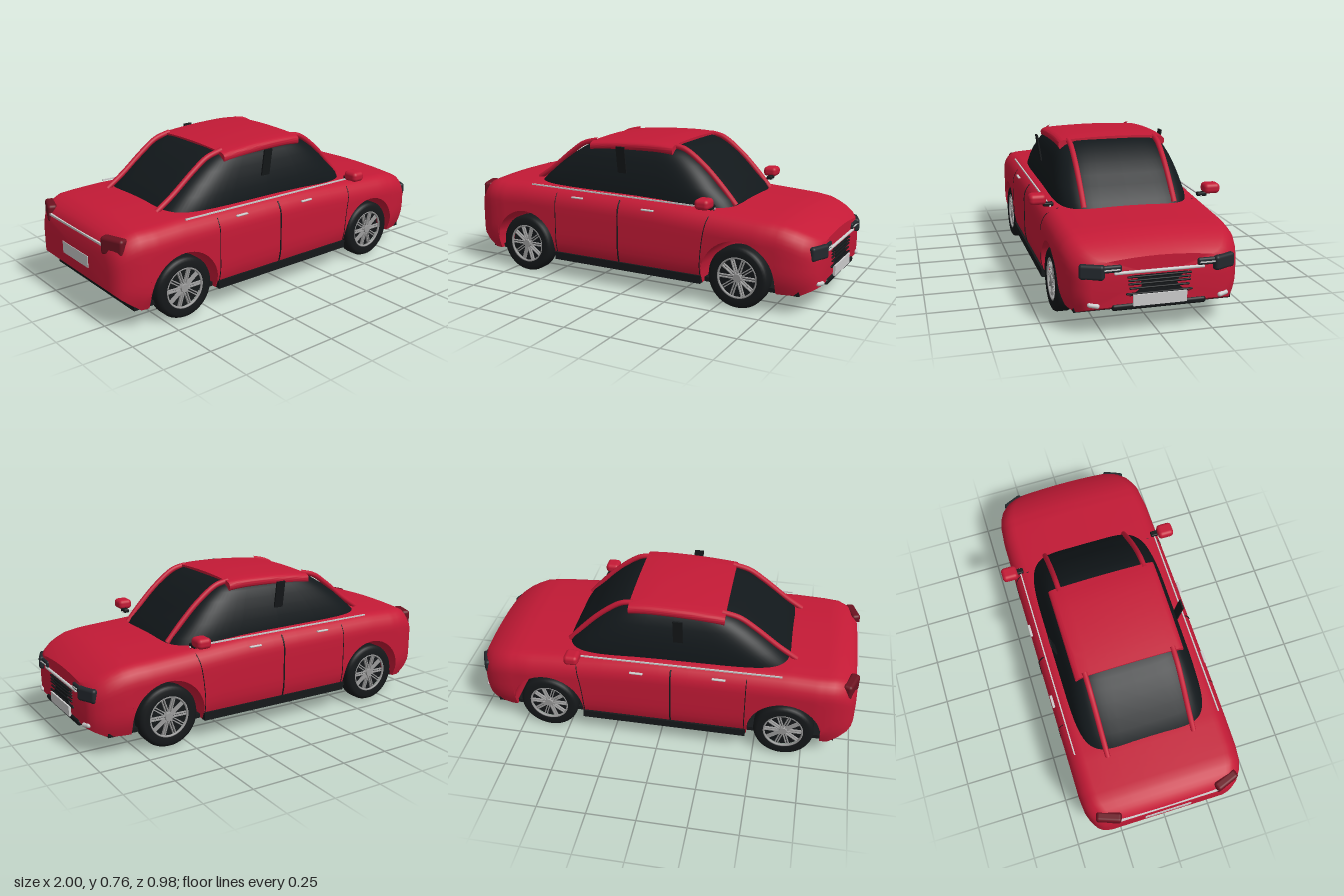
import * as THREE from 'three';
import { toCreasedNormals } from 'three/addons/utils/BufferGeometryUtils.js';
import { RoundedBoxGeometry } from 'three/addons/geometries/RoundedBoxGeometry.js';

const mat = (color) => new THREE.MeshStandardMaterial({ color });
const RED = mat(0xc41a36), BLACK = mat(0x15181a), GLASS = mat(0x12181b), CHROME = mat(0xcccccc);
const RIM = mat(0x9a9a9a), TAIL = mat(0x6b1220), LAMP = mat(0x23282d);
const ARCHES = [-0.65, 0.6], ARCH_R = 0.19, WHEEL_Y = 0.155;
const CROWN = 0.014, ROUND = 0.1;

// Piecewise linear lookup in [x, value] pairs
function lookup(table, x) {
  let i = 1;
  while (i < table.length - 1 && x > table[i][0]) i++;
  const [a, b] = [table[i - 1], table[i]];
  return THREE.MathUtils.lerp(a[1], b[1], THREE.MathUtils.clamp((x - a[0]) / (b[0] - a[0]), 0, 1));
}
const TOP = [[-1, 0.4], [-0.99, 0.43], [-0.97, 0.455], [-0.93, 0.48], [-0.88, 0.495], [-0.65, 0.503], [0.1, 0.495],
  [0.5, 0.468], [0.75, 0.452], [0.82, 0.442], [0.87, 0.425], [0.91, 0.408], [0.95, 0.385], [0.98, 0.365]];
const WIDTH = [[-1, 0.31], [-0.99, 0.35], [-0.97, 0.378], [-0.93, 0.403], [-0.88, 0.42], [-0.8, 0.428], [0.7, 0.428],
  [0.82, 0.418], [0.87, 0.405], [0.91, 0.39], [0.95, 0.363], [0.97, 0.335], [0.98, 0.31]];
const BASE = [[-1, 0.2], [-0.97, 0.17], [-0.88, 0.1], [0.9, 0.1], [0.98, 0.14]];

function bottom(x) {
  for (const c of ARCHES) {
    const d = Math.abs(x - c);
    if (d < ARCH_R - 1e-5) return 0.15 + Math.sqrt(ARCH_R ** 2 - d * d);
  }
  return lookup(BASE, x);
}

// Half width of the body at a given length and height
function sideZ(x, y) {
  const w = lookup(WIDTH, x), y0 = lookup(TOP, x) - CROWN - ROUND;
  const k = THREE.MathUtils.clamp((y - y0) / ROUND, 0, 1);
  const tuck = y < 0.22 ? 0.02 * ((0.22 - y) / 0.1) ** 2 : 0;
  return w - tuck - 0.085 * (1 - Math.sqrt(1 - k * k));
}

function bodySection(x) {
  const b = bottom(x), t = lookup(TOP, x), sh = t - CROWN, y0 = sh - ROUND, half = [];
  for (const f of [0, 0.5]) half.push([f * sideZ(x, b), b]);
  for (let i = 0; i <= 6; i++) { const y = b + (y0 - b) * i / 6; half.push([sideZ(x, y), y]); }
  for (let i = 1; i <= 7; i++) {
    const y = y0 + ROUND * Math.sin(i / 7 * Math.PI / 2);
    half.push([sideZ(x, y), y]);
  }
  const zs = sideZ(x, sh);
  for (const f of [0.8, 0.55, 0.25, 0]) half.push([zs * f, sh + CROWN * (1 - f * f)]);
  const other = half.slice(1, -1).reverse().map(([z, y]) => [-z, y]);
  return [...half, ...other].map(([z, y]) => new THREE.Vector3(x, y, z));
}

// Skin over closed rings, capped at both ends
function loft(rings, crease) {
  const n = rings[0].length, pos = [], idx = [];
  rings.forEach((r) => r.forEach((p) => pos.push(p.x, p.y, p.z)));
  for (let i = 0; i < rings.length - 1; i++) for (let j = 0; j < n; j++) {
    const a = i * n + j, b = i * n + (j + 1) % n;
    idx.push(a, a + n, b + n, a, b + n, b);
  }
  [0, rings.length - 1].forEach((i) => {
    const c = rings[i].reduce((s, p) => s.add(p), new THREE.Vector3()).divideScalar(n);
    const k = pos.push(c.x, c.y, c.z) / 3 - 1;
    for (let j = 0; j < n; j++) {
      const a = i * n + j, b = i * n + (j + 1) % n;
      idx.push(k, ...(i ? [b, a] : [a, b]));
    }
  });
  const g = new THREE.BufferGeometry();
  g.setAttribute('position', new THREE.Float32BufferAttribute(pos, 3));
  g.setIndex(idx);
  return toCreasedNormals(g, crease);
}

function createWheel() {
  const g = new THREE.Group();
  const put = (name, geo, m) => { const o = new THREE.Mesh(geo, m); o.name = name; g.add(o); return o; };
  const R = WHEEL_Y, prof = [[0.1, -0.04], [0.135, -0.045], [R - 0.006, -0.038], [R, -0.025], [R, 0.025],
    [R - 0.006, 0.038], [0.135, 0.045], [0.104, 0.042], [0.1, 0.03]].map(([r, y]) => new THREE.Vector2(r, y));
  put('tyre', toCreasedNormals(new THREE.LatheGeometry(prof, 48).rotateX(Math.PI / 2), 0.7), BLACK);
  put('wheelDish', new THREE.CylinderGeometry(0.102, 0.102, 0.06, 40).rotateX(Math.PI / 2).translate(0, 0, -0.01), BLACK);
  put('rimRing', new THREE.TorusGeometry(0.1, 0.006, 8, 48).translate(0, 0, 0.036), RIM);
  put('hub', new THREE.CylinderGeometry(0.02, 0.024, 0.02, 20).rotateX(Math.PI / 2).translate(0, 0, 0.032), RIM);
  for (let i = 0; i < 10; i++) for (const s of [-1, 1]) {
    const spoke = put('spoke', new THREE.BoxGeometry(0.085, 0.005, 0.012).translate(0.058, s * 0.006, 0.03), RIM);
    spoke.rotation.z = i * Math.PI / 5;
  }
  return g;
}

export function createModel() {
  const car = new THREE.Group();
  car.name = 'car';
  const add = (name, geo, m, x = 0, y = 0, z = 0) => {
    const o = new THREE.Mesh(geo, m);
    o.name = name;
    o.position.set(x, y, z);
    car.add(o);
    return o;
  };
  const box = (w, h, d) => new THREE.BoxGeometry(w, h, d);
  const rbox = (w, h, d, r) => new RoundedBoxGeometry(w, h, d, 3, r);
  const tube = (pts, r, seg = 24) => new THREE.TubeGeometry(
    new THREE.CatmullRomCurve3(pts.map((p) => new THREE.Vector3(...p))), seg, r, 10);

  // Body shell with the wheel arches cut through its lower edge
  const xs = [-1, -0.99, -0.97, -0.95, -0.93, -0.9, -0.88, -0.3, -0.15, 0, 0.15, 0.3, 0.82, 0.87, 0.91, 0.95, 0.97, 0.98];
  for (const c of ARCHES) {
    xs.push(c - ARCH_R, c + ARCH_R);
    for (let i = 0; i <= 24; i++) xs.push(c - (ARCH_R - 2e-4) * Math.cos(i / 24 * Math.PI));
  }
  xs.sort((a, b) => a - b);
  add('body', loft(xs.map(bodySection), 0.6), RED);

  // Glass cabin: height, rear x, front x, half width
  const levels = [[0.44, -0.69, 0.53, 0.347], [0.49, -0.66, 0.5, 0.345], [0.55, -0.59, 0.435, 0.336], [0.6, -0.53, 0.388, 0.323],
    [0.65, -0.46, 0.335, 0.306], [0.69, -0.395, 0.28, 0.288], [0.715, -0.345, 0.24, 0.268], [0.735, -0.29, 0.2, 0.235], [0.747, -0.2, 0.12, 0.15]];
  const pw = (v) => Math.sign(v) * Math.abs(v) ** 0.36;
  add('cabinGlass', loft(levels.map(([y, x0, x1, w]) => Array.from({ length: 72 }, (_, i) => {
    const t = i / 72 * Math.PI * 2;
    return new THREE.Vector3((x0 + x1) / 2 + (x1 - x0) / 2 * pw(Math.cos(t)), y, w * pw(Math.sin(t)));
  })), 0.8), GLASS);

  // Roof panel, arched across and bent along its length
  const roof = new THREE.Shape();
  roof.moveTo(-0.27, 0.7);
  roof.lineTo(0.27, 0.7);
  roof.quadraticCurveTo(0.285, 0.705, 0.285, 0.725);
  roof.quadraticCurveTo(0.285, 0.745, 0.25, 0.75);
  roof.quadraticCurveTo(0, 0.768, -0.25, 0.75);
  roof.quadraticCurveTo(-0.285, 0.745, -0.285, 0.725);
  roof.quadraticCurveTo(-0.285, 0.705, -0.27, 0.7);
  const roofGeo = new THREE.ExtrudeGeometry(roof, { depth: 0.49, steps: 12, bevelEnabled: false, curveSegments: 10 });
  roofGeo.rotateY(Math.PI / 2).translate(-0.31, 0, 0);
  const rp = roofGeo.attributes.position;
  for (let i = 0; i < rp.count; i++) rp.setY(i, rp.getY(i) - 0.15 * Math.max(0, 0.06 - rp.getX(i)) ** 2 - 0.5 * Math.max(0, rp.getX(i) - 0.06) ** 2);
  add('roofPanel', toCreasedNormals(roofGeo, 0.6), RED);

  // Number plates, grille and trim across the nose and tail
  add('frontPlate', box(0.012, 0.052, 0.25), CHROME, 0.99, 0.167, 0);
  add('rearPlate', box(0.012, 0.06, 0.25), CHROME, -0.997, 0.285, 0);
  add('rearTrim', box(0.02, 0.01, 0.52), CHROME, -0.99, 0.415, 0);
  add('noseTrim', rbox(0.016, 0.014, 0.42, 0.006), CHROME, 0.982, 0.296, 0);
  add('lowerIntake', rbox(0.03, 0.03, 0.44, 0.012), BLACK, 0.973, 0.136, 0);
  const grille = new THREE.Shape();
  grille.moveTo(-0.13, 0.28);
  grille.quadraticCurveTo(-0.03, 0.235, -0.14, 0.185);
  grille.lineTo(0.14, 0.185);
  grille.quadraticCurveTo(0.03, 0.235, 0.13, 0.28);
  add('grille', new THREE.ExtrudeGeometry(grille, { depth: 0.006, bevelEnabled: false }).rotateY(Math.PI / 2), BLACK, 0.978, 0, 0);
  [[0.273, 0.3], [0.256, 0.29], [0.24, 0.29], [0.22, 0.28], [0.195, 0.31]].forEach(([y, w]) =>
    add('grilleSlat', rbox(0.012, 0.009, w, 0.004), BLACK, 0.982, y, 0));

  // Dark under trays
  add('frontTray', box(0.49, 0.022, 0.75), BLACK, 0.655, 0.109, 0);
  add('rearTray', box(0.455, 0.022, 0.75), BLACK, -0.6825, 0.109, 0);

  for (const s of [-1, 1]) {
    // Wheels
    for (const x of ARCHES) {
      const w = createWheel();
      w.name = 'wheel';
      w.position.set(x, WHEEL_Y, s * 0.375);
      if (s < 0) w.rotation.y = Math.PI;
      car.add(w);
    }
    // Windscreen and rear window pillars
    const z = s * 0.23;
    add('frontPillar', tube([[0.16, 0.738, z], [0.23, 0.722, z], [0.335, 0.648, z], [0.435, 0.55, z], [0.51, 0.465, z]], 0.014), RED);
    add('rearPillar', tube([[-0.29, 0.732, z], [-0.38, 0.708, z], [-0.46, 0.655, z], [-0.59, 0.553, z], [-0.68, 0.493, z]], 0.014), RED);
    add('doorPillar', box(0.05, 0.14, 0.008), BLACK, -0.085, 0.658, s * 0.339).rotation.x = s * 0.15;

    // Door trim, handles, seams and sill
    add('beltTrim', box(1.09, 0.007, 0.007), CHROME, -0.075, 0.482, s * 0.388).rotation.z = -0.008;
    for (const [x, y] of [[-0.307, 0.45], [0.115, 0.435]]) add('doorHandle', rbox(0.07, 0.009, 0.014, 0.004), CHROME, x, y, s * (sideZ(x, y) + 0.012));
    for (const x of [-0.446, -0.06, 0.404]) {
      const pts = Array.from({ length: 12 }, (_, i) => {
        const y = 0.14 + 0.32 * i / 11, xx = x + (x > 0 ? 0.04 * (i / 11) ** 2 : 0);
        return [xx, y, s * (sideZ(xx, y) - 0.0005)];
      });
      add('doorSeam', tube(pts, x === -0.06 ? 0.004 : 0.0022), BLACK);
    }
    add('sill', box(0.865, 0.04, 0.035), BLACK, -0.0225, 0.118, s * 0.408);

    // Mirrors
    add('mirror', rbox(0.075, 0.052, 0.085, 0.02), RED, 0.438, 0.511, s * 0.447);
    add('mirrorStem', rbox(0.03, 0.02, 0.05, 0.006), BLACK, 0.45, 0.484, s * 0.395);

    // Lamps
    add('headlight', rbox(0.055, 0.07, 0.115, 0.015), LAMP, 0.957, 0.306, s * 0.303).rotation.y = -s * 0.4;
    add('headlightInner', rbox(0.03, 0.034, 0.1, 0.01), LAMP, 0.976, 0.318, s * 0.225);
    add('lightStrip', box(0.006, 0.006, 0.075), CHROME, 0.991, 0.316, s * 0.222);
    add('lightStripOuter', box(0.006, 0.006, 0.065), CHROME, 0.982, 0.316, s * 0.288).rotation.y = -s * 0.4;
    const fog = add('fogLight', new THREE.CapsuleGeometry(0.011, 0.034, 6, 12).rotateX(Math.PI / 2), CHROME, 0.978, 0.155, s * 0.303);
    fog.rotation.set(-s * 0.15, -s * 0.3, 0);
    add('tailLight', rbox(0.05, 0.09, 0.13, 0.016), TAIL, -0.962, 0.415, s * 0.312).rotation.y = s * 0.35;
  }
  return car;
}
